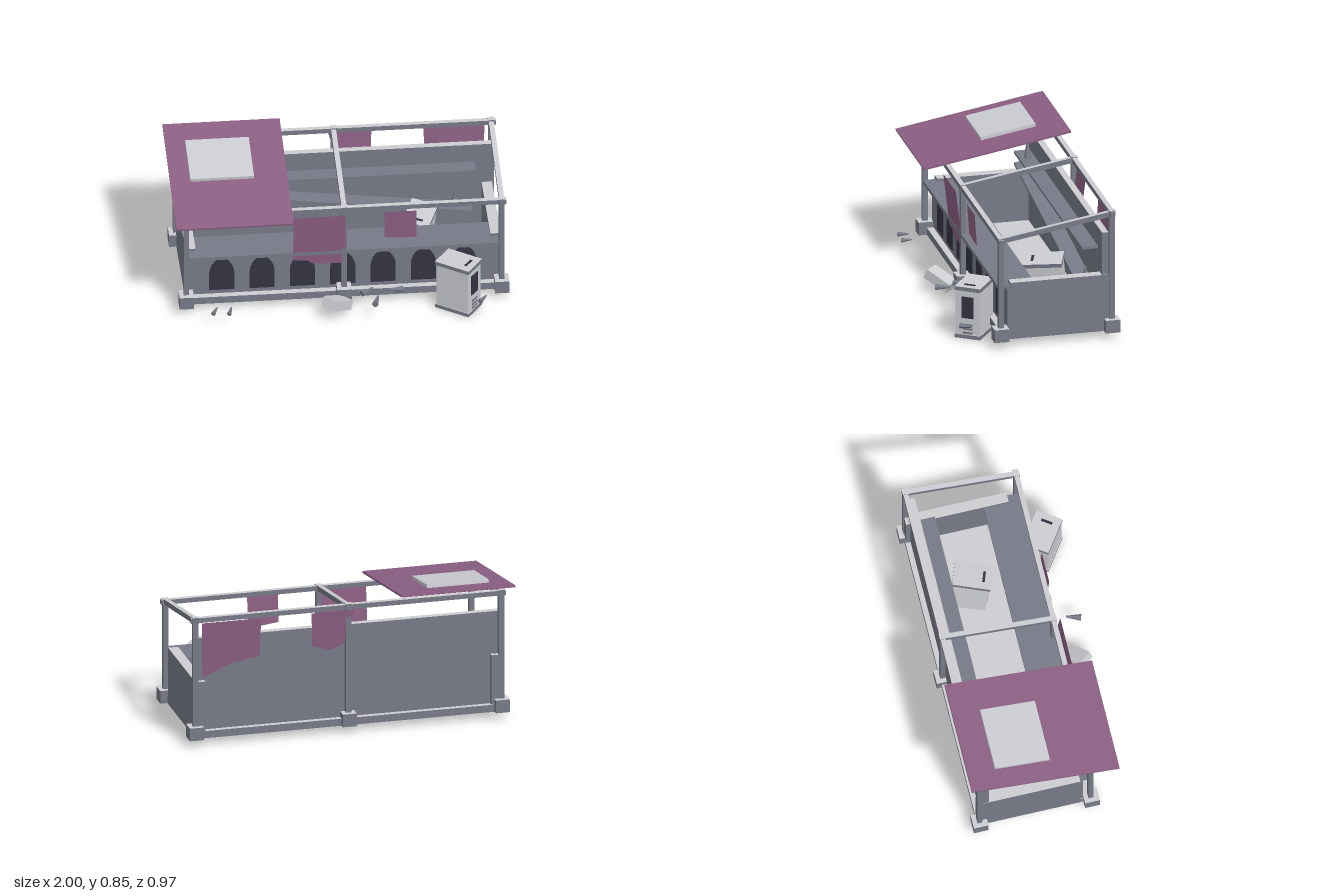
import * as THREE from 'three';

const mat = (name, color, side = THREE.FrontSide) => {
  const m = new THREE.MeshStandardMaterial({ color, side });
  m.name = name;
  return m;
};

export function createModel() {
  const root = new THREE.Group();
  root.name = 'ruinedMarketStall';
  const gray = mat('weathered gray', 0x777a87);
  const light = mat('pale gray', 0xcccdd2);
  const dark = mat('dark recess', 0x343342);
  const purple = mat('purple cloth', 0x8c5f84, THREE.DoubleSide);
  const paleTop = [gray, gray, light, gray, gray, gray];
  const CX = 0.015; // middle of the frame

  const add = (name, geo, material, parent = root) => {
    const m = new THREE.Mesh(geo, material);
    m.name = name;
    parent.add(m);
    return m;
  };
  // Box given by its limits on each axis
  const box = (name, [x0, x1], [y0, y1], [z0, z1], material, parent) => {
    const m = add(name, new THREE.BoxGeometry(x1 - x0, y1 - y0, z1 - z0), material, parent);
    m.position.set((x0 + x1) / 2, (y0 + y1) / 2, (z0 + z1) / 2);
    return m;
  };

  // Base, back wall and end walls
  box('base', [-0.925, 0.955], [0.045, 0.09], [-0.44, 0.25], paleTop);
  box('backWall', [-0.925, 0.955], [0.09, 0.67], [-0.408, -0.368], paleTop);
  for (const s of [-1, 1]) {
    const a = CX + s * 0.88, b = CX + s * 0.942;
    box('endWall', [Math.min(a, b), Math.max(a, b)], [0.046, 0.402], [-0.436, 0.192], paleTop);
  }

  // Counter with pointed arches along its front
  box('counterFront', [-0.92, 0.95], [0.09, 0.365], [0.185, 0.21], gray);
  box('counterTop', [-0.91, 0.94], [0.363, 0.385], [0.04, 0.268], gray);
  const arch = new THREE.Shape();
  arch.moveTo(-0.075, 0);
  arch.lineTo(0.075, 0);
  arch.lineTo(0.075, 0.12);
  arch.quadraticCurveTo(0.07, 0.195, 0, 0.235);
  arch.quadraticCurveTo(-0.07, 0.195, -0.075, 0.12);
  const archGeo = new THREE.ExtrudeGeometry(arch, { depth: 0.004, bevelEnabled: false, curveSegments: 5 });
  for (let i = -3; i <= 3; i++) {
    add('archPanel', archGeo, dark).position.set(0.012 + i * 0.241, 0.115, 0.209);
  }

  // Posts, plinths, joints and rafters
  const slope = Math.atan2(0.115, 0.678);
  for (const x of [CX - 0.942, CX, CX + 0.942]) {
    for (const [z, top] of [[0.253, 0.69], [-0.426, 0.81]]) {
      const zp = z > 0 ? 0.255 : -0.425;
      box('plinth', [x - 0.043, x + 0.043], [0.045, 0.125], [zp - 0.045, zp + 0.045], paleTop);
      box('post', [x - 0.016, x + 0.016], [0.125, top - 0.01], [z - 0.016, z + 0.016], paleTop);
      box('joint', [x - 0.019, x + 0.019], [top - 0.037, top + 0.002], [z - 0.019, z + 0.019], paleTop);
    }
    const rafter = add('rafter', new THREE.BoxGeometry(0.03, 0.032, 0.69), paleTop);
    rafter.position.set(x, 0.733, -0.087);
    rafter.rotation.x = slope;
  }
  box('frontBeam', [-0.955, 0.985], [0.658, 0.687], [0.238, 0.268], paleTop);
  box('backBeam', [-0.955, 0.985], [0.777, 0.807], [-0.441, -0.411], paleTop);

  // Remaining roof sheet with a pale patch
  const roof = new THREE.Group();
  roof.name = 'roof';
  roof.position.set(-0.65, 0.765, -0.038);
  roof.rotation.x = Math.atan2(0.16, 0.905);
  root.add(roof);
  box('roofSheet', [-0.35, 0.35], [-0.006, 0.006], [-0.458, 0.458], purple, roof);
  box('roofPatch', [-0.23, 0.15], [0.006, 0.026], [-0.29, 0.05], light, roof);

  // Level shelf and fallen shelf
  box('shelf', [-0.835, 0.855], [0.535, 0.55], [-0.37, -0.27], gray);
  const fallen = add('fallenShelf', new THREE.BoxGeometry(1.68, 0.015, 0.1), gray);
  fallen.position.set(0, 0.365, -0.32);
  fallen.rotation.z = -0.127;

  // Torn cloths; corners [x, y] run clockwise, z leans from top to bottom
  const cloth = (name, pts, zTop, zBottom) => {
    const geo = new THREE.ShapeGeometry(new THREE.Shape(pts.map(p => new THREE.Vector2(...p))));
    const p = geo.attributes.position;
    const ys = pts.map(q => q[1]), hi = Math.max(...ys), lo = Math.min(...ys);
    for (let i = 0; i < p.count; i++) {
      p.setZ(i, THREE.MathUtils.lerp(zBottom, zTop, (p.getY(i) - lo) / (hi - lo)));
    }
    geo.computeVertexNormals();
    add(name, geo, purple);
  };
  cloth('largeFrontCloth', [[-0.29, 0.65], [0.02, 0.65], [0.025, 0.42], [0, 0.29], [-0.17, 0.295], [-0.2, 0.32], [-0.29, 0.33]], 0.296, 0.256);
  cloth('smallFrontCloth', [[0.255, 0.655], [0.445, 0.655], [0.445, 0.46], [0.36, 0.458], [0.255, 0.47]], 0.286, 0.272);
  cloth('largeBackCloth', [[0.555, 0.775], [0.92, 0.775], [0.91, 0.42], [0.73, 0.5], [0.56, 0.53]], -0.447, -0.418);
  cloth('smallBackCloth', [[-0.02, 0.775], [0.245, 0.775], [0.235, 0.56], [0.12, 0.52], [0.04, 0.56]], -0.447, -0.418);

  // Cabinets with caps, window, vents and a handle slot
  const cabinet = (name, x, y, z) => {
    const g = new THREE.Group();
    g.name = name;
    g.position.set(x, y, z);
    root.add(g);
    box('cabinetBody', [-0.077, 0.077], [-0.145, 0.145], [-0.108, 0.108], light, g);
    for (const s of [-1, 1]) {
      const cap = add('cabinetCap', new THREE.BoxGeometry(0.164, 0.024, 0.23),
        [gray, gray, light, light, gray, gray], g);
      cap.position.y = s * 0.15;
      box('capSlot', [-0.035, 0.035], [s * 0.164 - 0.002, s * 0.164 + 0.002], [0.06, 0.075], dark, g);
    }
    box('cabinetWindow', [-0.037, 0.037], [-0.035, 0.1], [0.106, 0.111], dark, g);
    for (let i = 0; i < 3; i++) {
      box('cabinetVent', [-0.03, 0.03], [-0.083 - i * 0.025, -0.071 - i * 0.025], [0.106, 0.113], gray, g);
    }
    return g;
  };
  cabinet('frontCabinet', 0.69, 0.167, 0.35).rotation.y = 0.96;
  const sunk = cabinet('sunkenCabinet', 0.49, 0.208, -0.14);
  sunk.rotation.set(0.08, -0.36, -0.1);

  // Small crate tipped over in front
  const crate = add('tippedCrate', new THREE.BoxGeometry(0.17, 0.06, 0.1), light);
  crate.position.set(-0.035, 0.085, 0.375);
  crate.rotation.set(0, Math.PI / 4, -0.42, 'YZX');

  // Tapered bottles: two standing, the rest scattered
  const bottleGeo = new THREE.CylinderGeometry(0.006, 0.023, 0.1, 6).toNonIndexed();
  bottleGeo.computeVertexNormals();
  const up = new THREE.Vector3(0, 1, 0);
  const bottle = (pos, dir, scale = 1) => {
    const b = add('bottle', bottleGeo, gray);
    b.position.set(...pos);
    b.quaternion.setFromUnitVectors(up, new THREE.Vector3(...dir).normalize());
    b.scale.setScalar(scale);
  };
  bottle([-0.7, 0.6, -0.32], [0, 1, 0]);
  bottle([0.73, 0.33, -0.32], [0.12, 1, 0]);
  bottle([-0.77, 0.107, 0.425], [0.5, 0.1, -1], 0.65);
  bottle([-0.68, 0.102, 0.425], [0.3, 0.1, -1], 0.65);
  bottle([0.15, 0.115, 0.305], [1, 0.1, -0.7], 0.85);
  bottle([0.195, 0.12, 0.42], [0.3, 0, -1], 0.9);
  bottle([0.32, 0.115, 0.305], [-1, 0.05, 0.1], 0.85);
  bottle([0.83, 0.103, 0.435], [0.7, 0, -1], 0.75);

  return root;
}
